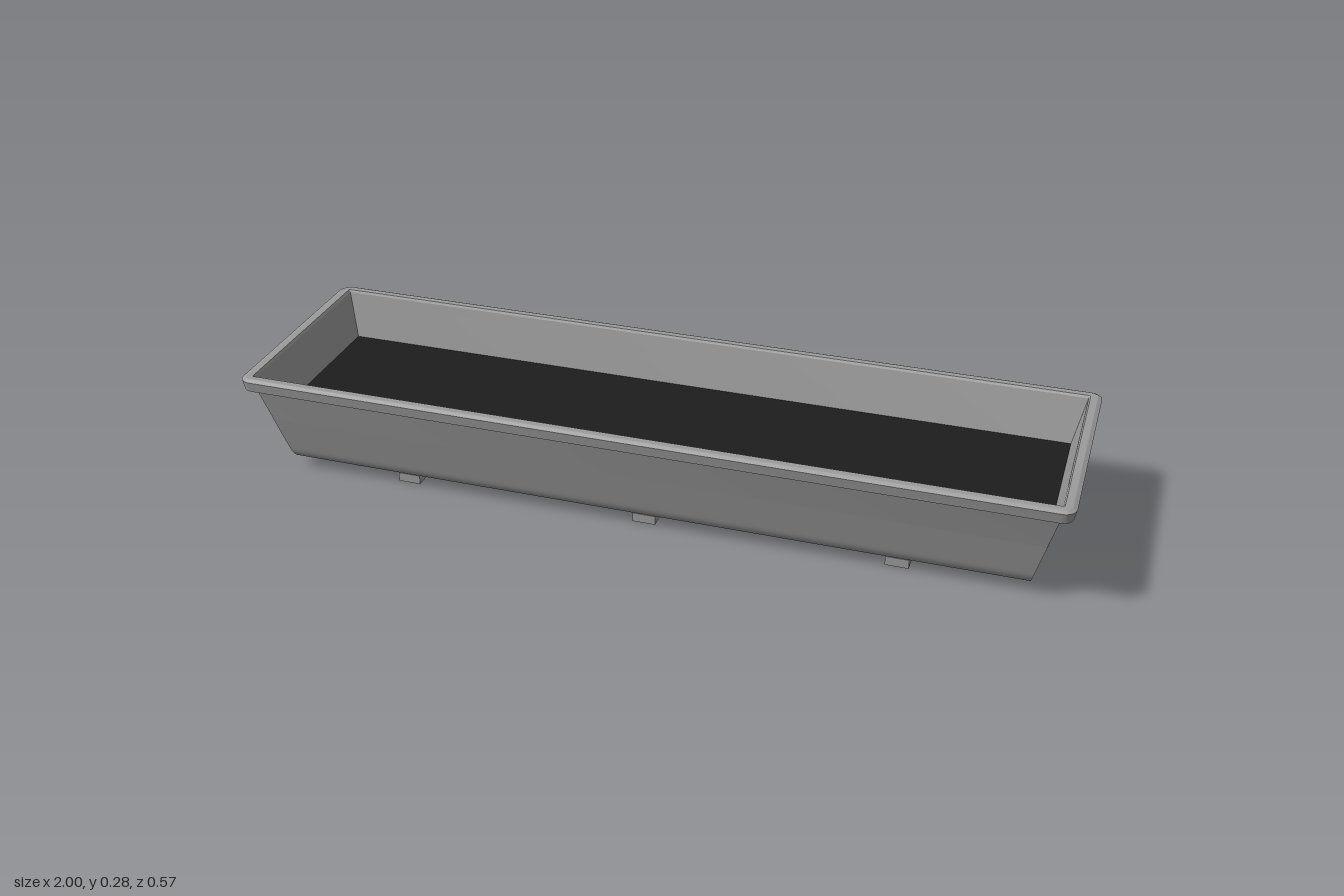
import * as THREE from 'three';
import { toCreasedNormals } from 'three/addons/utils/BufferGeometryUtils.js';

const grey = new THREE.MeshStandardMaterial({ color: 0x9c9c9c });
const dark = new THREE.MeshStandardMaterial({ color: 0x1d1d1d });

function add(parent, name, geometry, material, x = 0, y = 0, z = 0) {
  const mesh = new THREE.Mesh(geometry, material);
  mesh.name = name;
  mesh.position.set(x, y, z);
  parent.add(mesh);
}

// Horizontal rounded rectangle as a loop of points
function ring([hx, hz, y, r], steps = 8) {
  const points = [];
  const corners = [[1, 1], [-1, 1], [-1, -1], [1, -1]];
  corners.forEach(([sx, sz], k) => {
    for (let i = 0; i <= steps; i++) {
      const a = (k + i / steps) * Math.PI / 2;
      points.push([sx * (hx - r) + r * Math.cos(a), y, sz * (hz - r) + r * Math.sin(a)]);
    }
  });
  return points;
}

// Skin joining successive rings
function loft(sections, crease) {
  const rings = sections.map((s) => ring(s));
  const pos = [];
  for (let s = 0; s < rings.length - 1; s++) {
    const p = rings[s], q = rings[s + 1];
    for (let i = 0; i < p.length; i++) {
      const j = (i + 1) % p.length;
      pos.push(...p[i], ...p[j], ...q[i], ...p[j], ...q[j], ...q[i]);
    }
  }
  const g = new THREE.BufferGeometry();
  g.setAttribute('position', new THREE.Float32BufferAttribute(pos, 3));
  return toCreasedNormals(g, crease);
}

// Lower trough: two rounded feet with a channel between, ends sloping inward
function troughGeometry() {
  const s = new THREE.Shape();
  s.moveTo(-0.2335, 0.15);
  s.lineTo(-0.2135, 0.07);
  s.lineTo(-0.211, 0.06);
  s.bezierCurveTo(-0.205, 0.036, -0.192, 0.023, -0.172, 0.023);
  s.lineTo(-0.166, 0.023);
  s.bezierCurveTo(-0.146, 0.023, -0.132, 0.036, -0.126, 0.06);
  s.lineTo(-0.1235, 0.07);
  s.lineTo(-0.1145, 0.106);
  s.lineTo(-0.113, 0.112);
  s.quadraticCurveTo(-0.109, 0.128, -0.094, 0.128);
  s.lineTo(-0.09, 0.128);
  s.lineTo(0.09, 0.128);
  s.lineTo(0.094, 0.128);
  s.quadraticCurveTo(0.109, 0.128, 0.113, 0.112);
  s.lineTo(0.1145, 0.106);
  s.lineTo(0.1235, 0.07);
  s.lineTo(0.126, 0.06);
  s.bezierCurveTo(0.132, 0.036, 0.146, 0.023, 0.166, 0.023);
  s.lineTo(0.172, 0.023);
  s.bezierCurveTo(0.192, 0.023, 0.205, 0.036, 0.211, 0.06);
  s.lineTo(0.2135, 0.07);
  s.lineTo(0.2335, 0.15);
  s.closePath();
  const g = new THREE.ExtrudeGeometry(s, { depth: 2, bevelEnabled: false, curveSegments: 10 });
  g.translate(0, 0, -1);
  g.rotateY(Math.PI / 2);
  const p = g.attributes.position;
  for (let i = 0; i < p.count; i++) {
    p.setX(i, Math.sign(p.getX(i)) * (0.9085 + 0.25 * p.getY(i)));
  }
  return toCreasedNormals(g, 0.6);
}

export function createModel() {
  const model = new THREE.Group();
  model.name = 'planter';

  add(model, 'trough', troughGeometry(), grey);

  // Flat walls with sharp corners
  add(model, 'innerWall', loft([
    [0.942, 0.229, 0.150, 0.001],
    [0.969, 0.256, 0.271, 0.001],
  ], 0.1), grey);
  add(model, 'outerWall', loft([
    [0.971, 0.2585, 0.250, 0.001],
    [0.946, 0.2335, 0.150, 0.001],
  ], 0.1), grey);

  // Rim with rounded corners and a short turned-down skirt
  add(model, 'rim', loft([
    [0.969, 0.256, 0.271, 0.001],
    [0.973, 0.259, 0.277, 0.004],
    [0.990, 0.275, 0.277, 0.020],
    [1.000, 0.285, 0.272, 0.030],
    [0.995, 0.280, 0.246, 0.026],
    [0.987, 0.272, 0.249, 0.018],
    [0.971, 0.2585, 0.250, 0.001],
  ], 0.25), grey);

  add(model, 'soil', new THREE.BoxGeometry(1.886, 0.006, 0.460), dark, 0, 0.153, 0);

  // Cross slats under the feet
  for (const x of [-0.612, 0, 0.612]) {
    add(model, 'supportSlat', new THREE.BoxGeometry(0.056, 0.023, 0.37), grey, x, 0.0115, 0);
  }
  return model;
}
